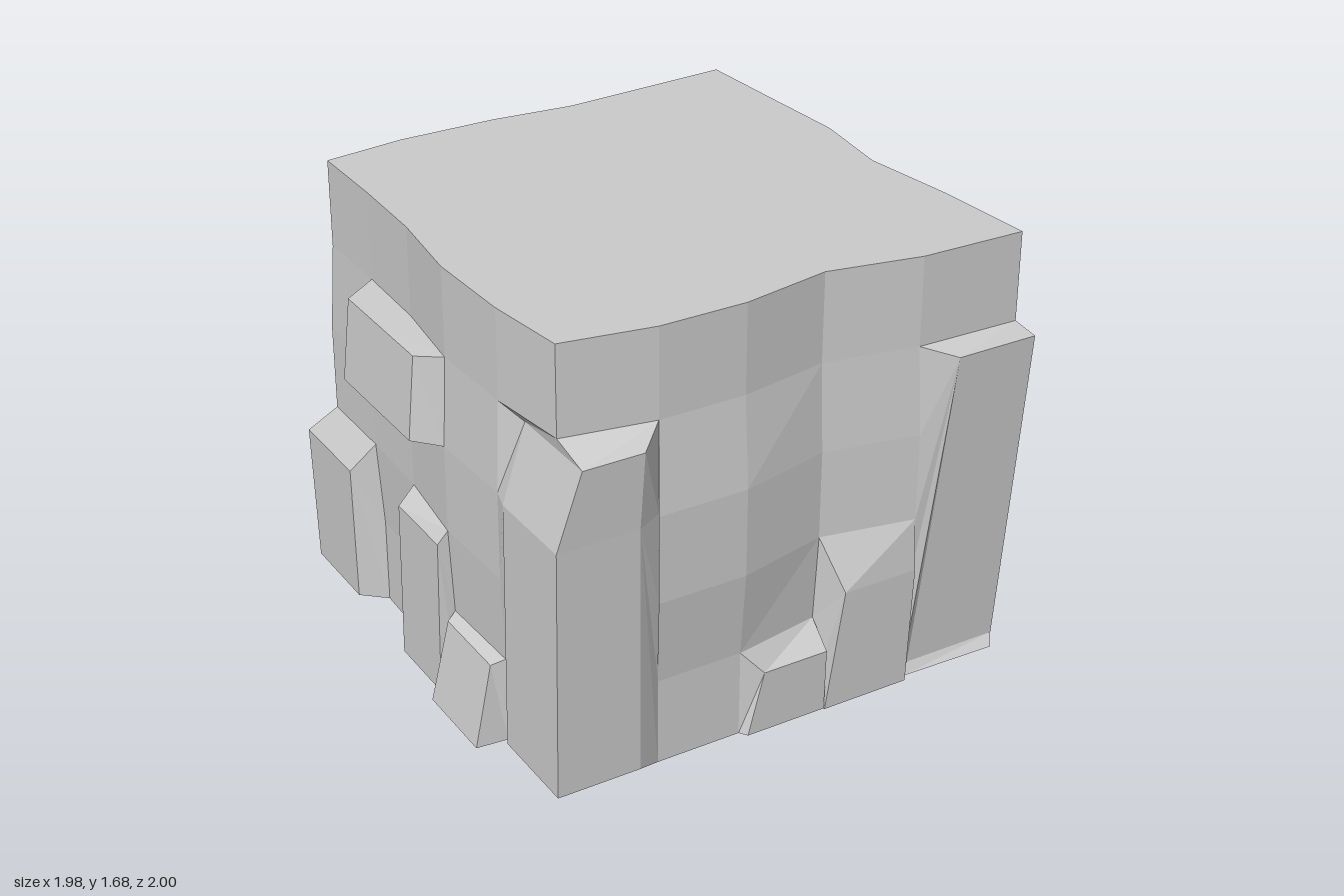
import * as THREE from 'three';

const ROW = 0.336; // height of one row of wall cells
const ROWS = 5;
// Wall outline (x, z): five cells per side, counter-clockwise from the front corner at -x
const outline = [
  [-.84, .85], [-.5, .91], [-.17, .91], [.17, .85], [.52, .92],
  [.92, .93], [.89, .53], [.84, .17], [.88, -.16], [.86, -.51],
  [.84, -.88], [.5, -.86], [.17, -.84], [-.15, -.87], [-.53, -.87],
  [-.84, -.83], [-.84, -.5], [-.85, -.17], [-.89, .17], [-.88, .53],
];
const N = outline.length;

// Wall point at outline index k, row j, swelling at mid height, most on the front
function wall(k, j) {
  const [x, z] = outline[k % N];
  const swell = k === 1 || k === 2 ? 1.04 : 1.02;
  const s = j === 2 || j === 3 ? swell : 1;
  return new THREE.Vector3(x * s, j * ROW, z * s);
}

// Wall points at index k from row a up to row b
const column = (k, a, b) => Array.from({ length: b - a + 1 }, (_, i) => wall(k, a + i));

// Outward direction of the side that holds column k: front, +x, back, -x
function normalOf(k) {
  const a = Math.floor((k % N) / 5) * Math.PI / 2;
  return new THREE.Vector3(Math.round(Math.sin(a)), 0, Math.round(Math.cos(a)));
}

// Move a point along a direction until it lies at the given reach
const pushTo = (p, dir, reach) => p.addScaledVector(dir, reach - p.dot(dir));

const material = new THREE.MeshStandardMaterial({
  color: 0xcccccc, flatShading: true, side: THREE.DoubleSide,
});

// Mesh from polygons, each cut into a fan from its first corner
function polyMesh(name, polys) {
  const pts = [];
  for (const p of polys) {
    for (let i = 1; i < p.length - 1; i++) pts.push(p[0], p[i], p[i + 1]);
  }
  const g = new THREE.BufferGeometry().setFromPoints(pts);
  g.computeVertexNormals();
  const m = new THREE.Mesh(g, material);
  m.name = name;
  return m;
}

export function createModel() {
  const group = new THREE.Group();
  group.name = 'rockBlock';

  // Cells of the wall replaced by bumps
  const open = new Set();
  function cut(k0, n, j0, j1) {
    for (let k = k0; k < k0 + n; k++) for (let j = j0; j < j1; j++) open.add(`${k % N},${j}`);
  }

  // Open-backed block over n columns from k0, rows j0 to j1; it may wrap a corner.
  // Each edge from bottom to top: [row, height shift, reach, inset at the left end,
  // inset at the right end, reach on the side of the first column]
  function block(name, [k0, n, j0, j1], ...edges) {
    cut(k0, n, j0, j1);
    const rings = edges.map(([j, dy, reach, left, right = left, firstReach = reach]) =>
      Array.from({ length: n + 1 }, (_, i) => {
        const p = wall(k0 + i, j);
        p.y += dy;
        const first = normalOf(k0 + Math.max(i - 1, 0));
        const last = normalOf(k0 + Math.min(i, n - 1));
        pushTo(p, first, i === n ? reach : firstReach);
        if (!first.equals(last)) pushTo(p, last, reach);
        const slide = i === 0 ? left : i === n ? -right : 0;
        return p.addScaledVector(new THREE.Vector3(last.z, 0, -last.x), slide);
      }));
    const polys = [];
    // Bottom, faces and top
    const bottomWall = Array.from({ length: n + 1 }, (_, i) => wall(k0 + i, j0));
    const topWall = Array.from({ length: n + 1 }, (_, i) => wall(k0 + i, j1));
    const bands = [bottomWall, ...rings, topWall];
    for (let r = 0; r < bands.length - 1; r++) {
      const [a, b] = [bands[r], bands[r + 1]];
      for (let i = 0; i < n; i++) polys.push([a[i], a[i + 1], b[i + 1], b[i]]);
    }
    // Side bevels follow every wall row so no gap opens
    rings.forEach((ring, r) => {
      const from = r ? edges[r - 1][0] : j0;
      const below = r ? rings[r - 1] : ring;
      const to = edges[r][0];
      polys.push([ring[0], ...column(k0, from, to).reverse(), below[0]]);
      polys.push([ring[n], below[n], ...column(k0 + n, from, to)]);
    });
    const end = rings[rings.length - 1];
    const endRow = edges[edges.length - 1][0];
    polys.push([end[0], ...column(k0, endRow, j1).reverse()]);
    polys.push([end[n], ...column(k0 + n, endRow, j1)]);
    group.add(polyMesh(name, polys));
  }

  // Corner posts
  block('frontRightPost', [19, 2, 0, 4],
    [0, .04, .96, .07, .1, .92], [3, 0, .98, .08, .1, .92], [4, -.05, .995, .09, .1, .83]);
  block('frontLeftPost', [4, 2, 0, 4], [0, .04, .94, .04, .05, .9], [4, -.05, .97, .13, .13, .98]);
  block('tallBackPost', [9, 2, 0, 5],
    [0, .07, .92, .08, .1, .9], [2, 0, .94, .15, .1, .91], [4, 0, .945, .15, .1, .91], [5, -.07, .95, .12, .1, .91]);
  block('shortBackPost', [14, 2, 0, 2], [0, 0, .93, .15, .08], [2, -.12, .94, .08, .06]);

  // Blocks on the -x side
  block('upperSideBlock', [16, 2, 3, 4], [3, .01, 1, .08], [4, -.01, .97, .08]);
  block('lowerSideBlock', [17, 1, 0, 2], [0, 0, .95, .02], [2, -.05, .945, .03, .01]);
  block('sideWedge', [18, 1, 0, 1], [0, 0, 1, .01], [1, -.02, .93, .02]);

  // Steps on the front
  block('lowFrontStep', [2, 1, 0, 1], [0, 0, .94, .02, 0], [1, -.09, .945, .08, 0]);
  block('highFrontStep', [3, 1, 0, 2], [0, 0, .945, 0], [2, -.2, .955, .06, 0]);

  // Hooked column on the back
  block('backLedge', [12, 2, 3, 4], [3, .03, .98, .05, .12], [4, -.14, 1, .05, .13]);
  block('backColumn', [12, 1, 0, 3], [0, .12, .95, .05], [2, 0, .975, .05], [3, 0, .93, .04]);

  // Ledge under the side panel: upper and lower slopes meet in one edge
  block('sideLedge', [6, 3, 0, 1], [0, .28, .98, .1]);

  // Stepped panel on the +x side: its wall outline pushed outwards
  cut(6, 3, 1, 2);
  cut(7, 1, 2, 3);
  const base = [
    wall(7, 1), wall(8, 1), wall(9, 1), wall(9, 2), wall(8, 2), wall(8, 3),
    wall(7, 3), new THREE.Vector3(.88, .81, .3), wall(6, 2), wall(6, 1),
  ];
  const face = base.map(p => pushTo(p.clone(), normalOf(6), .98 - .05 * p.y));
  const sides = base.map((p, i) => {
    const n = (i + 1) % base.length;
    return [p, base[n], face[n], face[i]];
  });
  group.add(polyMesh('steppedSidePanel', [face, ...sides]));

  // Uneven walls, open underneath
  const cells = [];
  for (let k = 0; k < N; k++) {
    for (let j = 0; j < ROWS; j++) {
      if (open.has(`${k},${j}`)) continue;
      cells.push([wall(k, j), wall(k + 1, j), wall(k + 1, j + 1), wall(k, j + 1)]);
    }
  }
  group.add(polyMesh('walls', cells));

  // Flat top
  const rim = outline.map((_, k) => wall(k, ROWS));
  group.add(polyMesh('flatTop', [[new THREE.Vector3(0, ROWS * ROW, 0), ...rim, rim[0]]]));

  return group;
}
